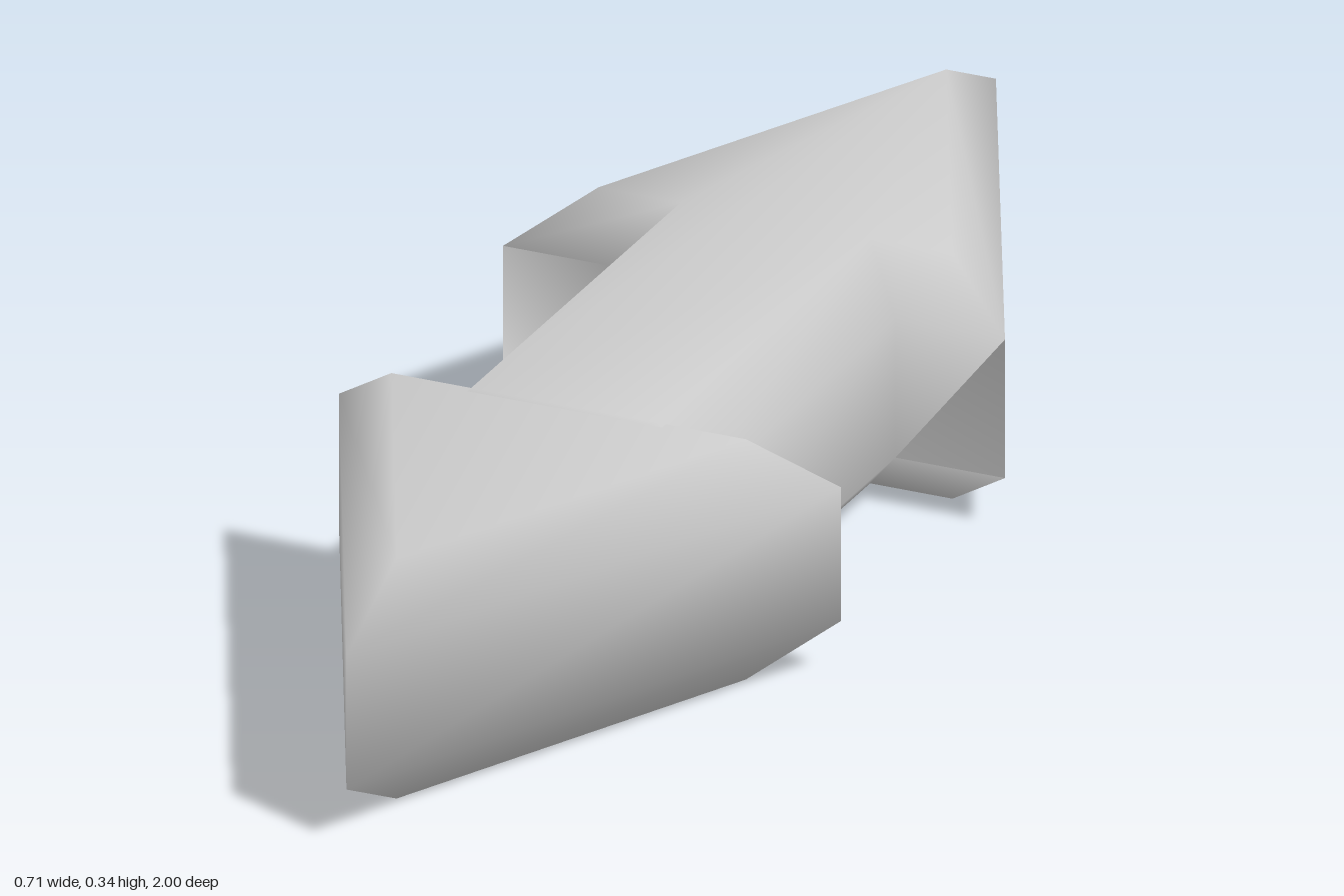
import * as THREE from 'three';

const BEVEL = 0.066;

// Moves a closed outline inwards by d with mitred corners
function inset(points, d) {
  const n = points.length;
  const inward = (a, b) => new THREE.Vector2(a.y - b.y, b.x - a.x).normalize();
  return points.map((p, i) => {
    const n1 = inward(points[(i + n - 1) % n], p);
    const n2 = inward(p, points[(i + 1) % n]);
    const mitre = n1.clone().add(n2).multiplyScalar(d / (1 + n1.dot(n2)));
    return p.clone().add(mitre);
  });
}

// Smooth-shaded slab: an (x, z) outline with chamfered top and bottom rims
function bevelledSlab(outline, y0, y1) {
  const small = inset(outline, BEVEL);
  const n = outline.length;
  const rings = [[small, y0], [outline, y0 + 0.075], [outline, y1 - 0.075], [small, y1]];
  const positions = [];
  const index = [];
  for (const [ring, y] of rings) for (const p of ring) positions.push(p.x, y, p.y);

  // Walls and chamfers
  for (let k = 0; k < 3; k++) {
    for (let i = 0; i < n; i++) {
      const a = k * n + i, b = k * n + (i + 1) % n;
      index.push(a, a + n, b, b, a + n, b + n);
    }
  }
  // Flat bottom and top
  for (const [a, b, c] of THREE.ShapeUtils.triangulateShape(small, [])) {
    index.push(a, b, c, 3 * n + a, 3 * n + c, 3 * n + b);
  }

  const geometry = new THREE.BufferGeometry();
  geometry.setAttribute('position', new THREE.Float32BufferAttribute(positions, 3));
  geometry.setIndex(index);
  geometry.computeVertexNormals();
  return geometry;
}

export function createModel() {
  const group = new THREE.Group();
  group.name = 'doubleArrow';
  const material = new THREE.MeshStandardMaterial({ color: 0xcccccc });
  const add = (name, coords, y0, y1) => {
    const outline = coords.map(([x, z]) => new THREE.Vector2(x, z));
    const mesh = new THREE.Mesh(bevelledSlab(outline, y0, y1), material);
    mesh.name = name;
    group.add(mesh);
  };

  // Back head and shaft in one piece; the shaft runs into the front head
  add('backHeadAndShaft', [
    [0, -1], [0.355, -0.255], [0.2, -0.255], [0.2, 0.39],
    [-0.2, 0.39], [-0.2, -0.255], [-0.355, -0.255],
  ], 0, 0.345);

  // Front head
  add('frontHead', [[0, 1], [-0.355, 0.25], [0.355, 0.25]], 0.003, 0.341);

  return group;
}
